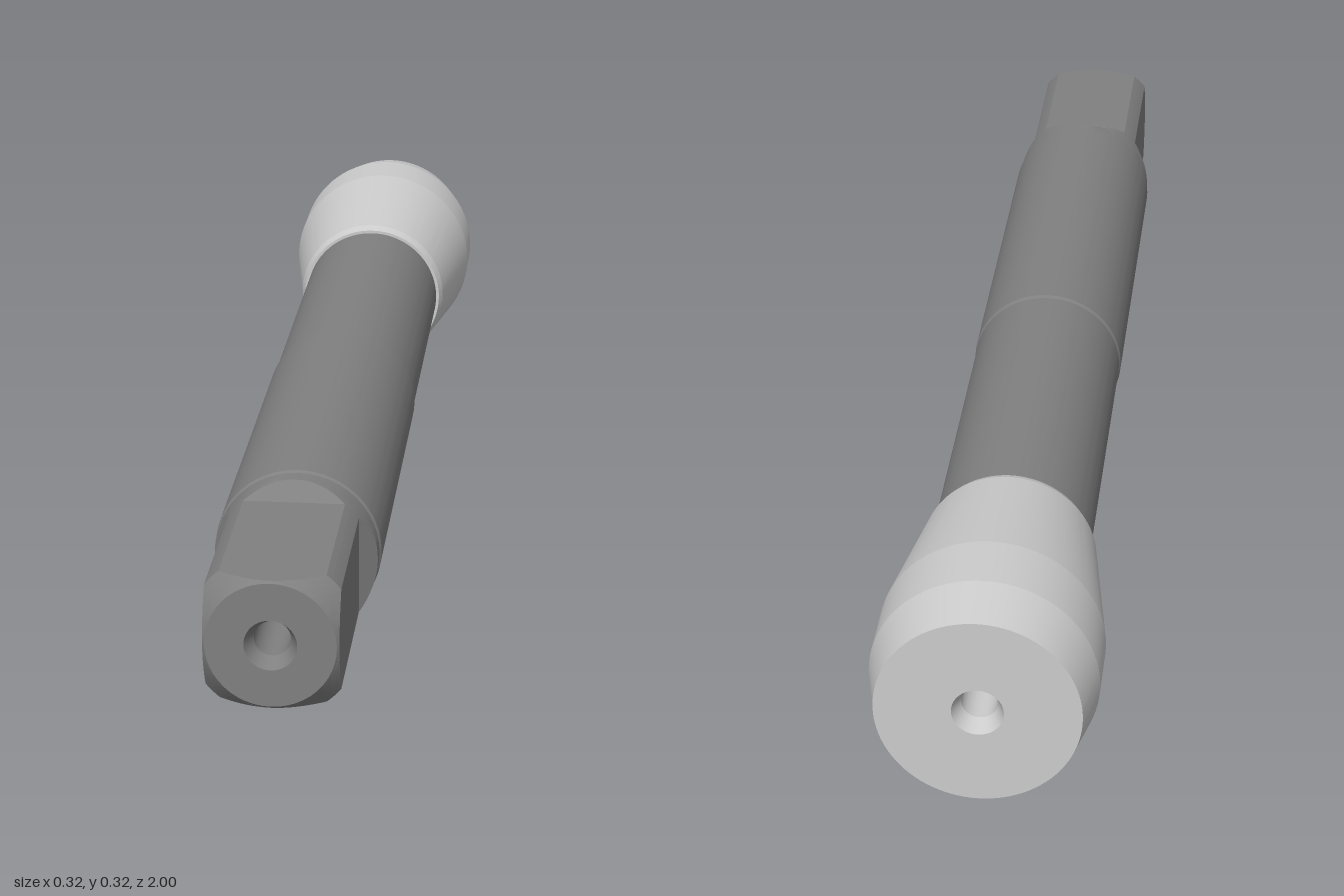
import * as THREE from 'three';
import { toCreasedNormals } from 'three/addons/utils/BufferGeometryUtils.js';

const steel = new THREE.MeshStandardMaterial({ color: 0x808080 });
const grey = new THREE.MeshStandardMaterial({ color: 0xcccccc });

const STOCK = 0.117; // radius of the round stock the square is cut from
const FLAT = 0.092;  // half width across the flats
const BORE = 0.025, SINK = 0.036, TIP = 0.089;

// Turned part about the z axis, profile given as [radius, z]
function turned(name, profile, material) {
  const g = new THREE.LatheGeometry(profile.map(([r, z]) => new THREE.Vector2(r, z)), 96);
  g.rotateX(Math.PI / 2);
  const mesh = new THREE.Mesh(toCreasedNormals(g, 0.1), material);
  mesh.name = name;
  return mesh;
}

// Circle of radius r trimmed by a square of half width h, at height z
function trimmedCircle(r, h, z) {
  const cut = h < r ? Math.acos(h / r) : 0;
  const n = 12, pts = [];
  for (let q = 0; q < 4; q++) {
    const base = q * Math.PI / 2;
    for (let i = 0; i < n; i++) { // flat side
      const a = -cut + 2 * cut * i / n;
      const rad = cut ? h / Math.cos(a) : r;
      pts.push([rad * Math.cos(base + a), rad * Math.sin(base + a), z]);
    }
    for (let i = 0; i < n; i++) { // round corner
      const a = base + cut + (Math.PI / 2 - 2 * cut) * i / n;
      pts.push([r * Math.cos(a), r * Math.sin(a), z]);
    }
  }
  return pts;
}

// Skin a list of closed rings, ordered along +z
function loft(rings) {
  const pos = [];
  for (let i = 0; i < rings.length - 1; i++) {
    const lo = rings[i], hi = rings[i + 1];
    for (let j = 0; j < lo.length; j++) {
      const k = (j + 1) % lo.length;
      pos.push(...lo[j], ...lo[k], ...hi[k], ...lo[j], ...hi[k], ...hi[j]);
    }
  }
  const g = new THREE.BufferGeometry();
  g.setAttribute('position', new THREE.Float32BufferAttribute(pos, 3));
  return toCreasedNormals(g, 0.3);
}

function squareDrive() {
  const rings = [trimmedCircle(STOCK, STOCK, 0.65)];
  const steps = 8, rise = STOCK - FLAT;
  // flats run out at 45 degrees into the round stock
  for (let i = 0; i <= steps; i++) {
    const d = rise * (i / steps) ** 2;
    rings.push(trimmedCircle(STOCK, STOCK - d, 0.685 + d));
  }
  // conical chamfer trims the corners at the tip
  const slope = 0.03 / (STOCK - TIP);
  for (let i = steps; i >= 0; i--) {
    const r = FLAT + rise * (i / steps) ** 2;
    rings.push(trimmedCircle(r, FLAT, 1 - (r - TIP) * slope));
  }
  // end face down to the countersink
  rings.push(trimmedCircle(TIP, FLAT, 1), trimmedCircle(SINK, FLAT, 1));
  const mesh = new THREE.Mesh(loft(rings), steel);
  mesh.name = 'squareDrive';
  return mesh;
}

export function createModel() {
  const group = new THREE.Group();
  group.name = 'driveShaft';

  // Shaft with a slight step at mid length and a small shoulder at the front
  const shaft = turned('shaft', [
    [0.117, -0.59], [0.117, -0.006], [0.1195, 0], [0.1195, 0.653], [0.1165, 0.658],
  ], steel);

  // Flared sleeve on the rear end
  const sleeve = turned('sleeve', [
    [SINK, -1], [0.143, -1], [0.16, -0.92], [0.16, -0.82], [0.128, -0.592],
    [0.122, -0.577], [0.115, -0.577],
  ], grey);

  // Through hole, countersunk at both ends
  const frontBore = turned('frontBore', [[SINK, 1], [BORE, 0.975], [BORE, -0.58]], steel);
  const rearBore = turned('rearBore', [[BORE, -0.58], [BORE, -0.975], [SINK, -1]], grey);

  group.add(shaft, sleeve, squareDrive(), frontBore, rearBore);
  group.children.forEach((part) => { part.position.y = 0.16; });
  return group;
}
